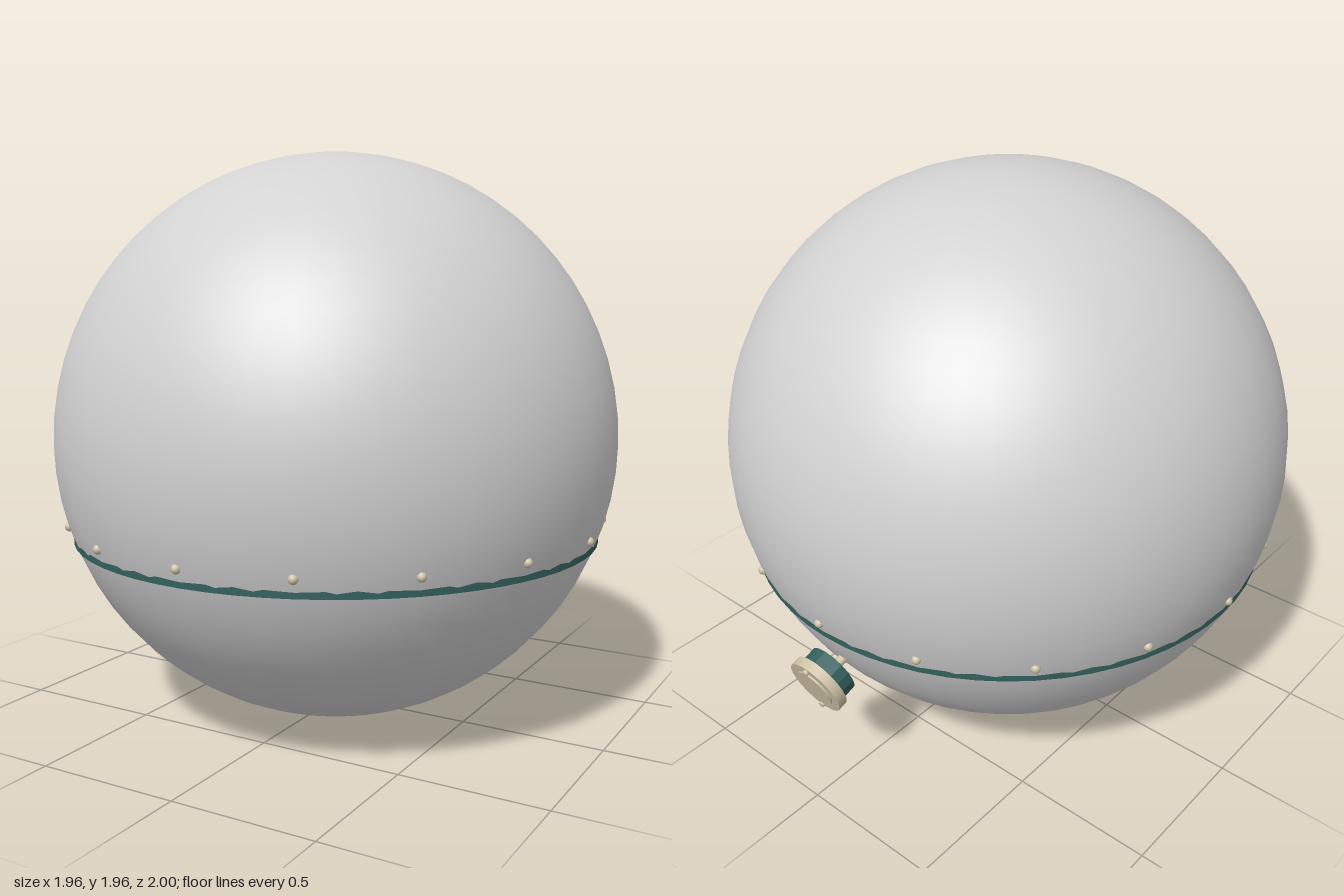
import * as THREE from 'three';

const shell = new THREE.MeshStandardMaterial({ color: 0xd2d2d2 });
shell.name = 'pale grey';
const teal = new THREE.MeshStandardMaterial({ color: 0x33605c });
teal.name = 'dark teal';
const cream = new THREE.MeshStandardMaterial({ color: 0xd0c4a8 });
cream.name = 'cream';
const tealFaceted = teal;

const R = 0.98, CY = 0.98, CZ = 0.018;

function add(parent, name, geometry, material, x = 0, y = 0, z = 0) {
  const mesh = new THREE.Mesh(geometry, material);
  mesh.name = name;
  mesh.position.set(x, y, z);
  parent.add(mesh);
  return mesh;
}

export function createModel() {
  const model = new THREE.Group();
  model.name = 'globe';

  // Main ball
  add(model, 'ball', new THREE.SphereGeometry(R, 48, 32), shell, 0, CY, CZ);

  // Thin seam band, its top edge sinking into the ball
  add(model, 'seamBand', new THREE.CylinderGeometry(0.923, 0.923, 0.028, 64), teal, 0, 0.649, CZ);

  // Ring of sixteen studs above the seam
  const studs = new THREE.Group();
  studs.name = 'studs';
  model.add(studs);
  const studGeo = new THREE.SphereGeometry(0.016, 10, 8);
  for (let i = 0; i < 16; i++) {
    const a = (i / 16) * Math.PI * 2;
    add(studs, 'stud', studGeo, cream, Math.sin(a) * 0.937, 0.697, CZ + Math.cos(a) * 0.937);
  }

  // Valve at the back: local +y points outward, origin at the outer face
  const valve = new THREE.Group();
  valve.name = 'valve';
  valve.position.set(0, 0.457, -0.962);
  valve.rotation.x = -1.885;
  model.add(valve);
  add(valve, 'valveStem', new THREE.CylinderGeometry(0.017, 0.017, 0.14, 12), cream, 0, -0.14, 0);

  // Faceted body with flat sides
  const body = new THREE.CylinderGeometry(0.092, 0.092, 0.058, 16).toNonIndexed();
  body.computeVertexNormals();
  add(valve, 'valveBody', body, tealFaceted, 0, -0.06, 0);
  add(valve, 'valveCap', new THREE.CylinderGeometry(0.107, 0.107, 0.034, 28), cream, 0, -0.017, 0);
  add(valve, 'capPlate', new THREE.CylinderGeometry(0.075, 0.075, 0.006, 28), cream, 0, 0.003, 0);

  // Two small screws on the cap
  for (const s of [-1, 1]) {
    add(valve, 'capScrew', new THREE.CylinderGeometry(0.011, 0.011, 0.012, 10), cream, 0, 0.005, s * 0.089);
  }
  return model;
}
